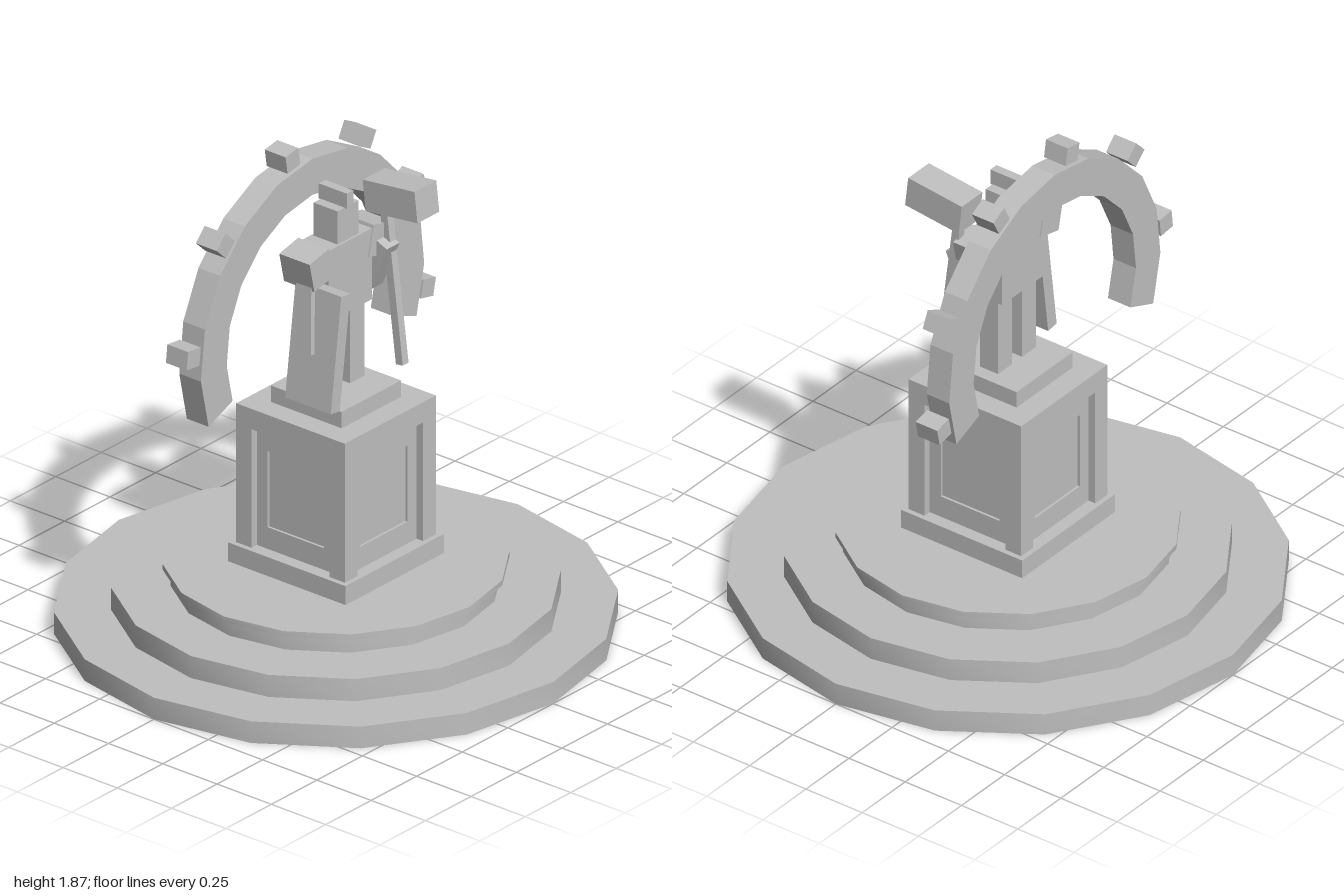
import * as THREE from 'three';
import { toCreasedNormals } from 'three/addons/utils/BufferGeometryUtils.js';

export function createModel() {
  const model = new THREE.Group();
  const stone = new THREE.MeshStandardMaterial({ color: 0xbfbfbf, side: THREE.DoubleSide });
  stone.name = 'stone';

  const add = (name, geometry, parent = model) => {
    const mesh = new THREE.Mesh(geometry, stone);
    mesh.name = name;
    parent.add(mesh);
    return mesh;
  };
  const box = (name, size, pos, rot = [0, 0, 0], parent = model) => {
    const mesh = add(name, new THREE.BoxGeometry(...size), parent);
    mesh.position.set(...pos);
    mesh.rotation.set(...rot);
    return mesh;
  };
  const group = (name) => {
    const g = new THREE.Group();
    g.name = name;
    model.add(g);
    return g;
  };

  // Round stepped base: a hollow shell, open underneath
  const profile = [[1, 0], [1, 0.085], [0.797, 0.085], [0.797, 0.172], [0.587, 0.172],
    [0.587, 0.237], [0.615, 0.237], [0.615, 0.258], [0, 0.258]];
  const steps = new THREE.LatheGeometry(profile.map(([r, y]) => new THREE.Vector2(r, y)), 16);
  add('steppedBase', toCreasedNormals(steps, 0.6));

  // Pedestal: foot, core, corner posts, cap, and a framed panel on each side
  const pedestal = group('pedestal');
  box('pedestalFoot', [0.54, 0.075, 0.54], [0, 0.295, 0], undefined, pedestal);
  box('pedestalCore', [0.42, 0.47, 0.42], [0, 0.567, 0], undefined, pedestal);
  box('pedestalCap', [0.5, 0.08, 0.5], [0, 0.84, 0], undefined, pedestal);
  const frame = new THREE.Shape([[-0.18, 0.332], [0.18, 0.332], [0.18, 0.8], [-0.18, 0.8]]
    .map(([x, y]) => new THREE.Vector2(x, y)));
  frame.holes.push(new THREE.Path([[-0.13, 0.418], [-0.13, 0.718], [0.13, 0.718], [0.13, 0.418]]
    .map(([x, y]) => new THREE.Vector2(x, y))));
  const frameGeometry = new THREE.ExtrudeGeometry(frame, { depth: 0.01, bevelEnabled: false });
  frameGeometry.translate(0, 0, 0.21);
  for (let i = 0; i < 4; i++) {
    const a = i * Math.PI / 2;
    add('panelFrame', frameGeometry, pedestal).rotation.y = a;
    const sx = i % 2 ? 1 : -1, sz = i < 2 ? 1 : -1;
    box('cornerPost', [0.07, 0.47, 0.07], [sx * 0.215, 0.567, sz * 0.215], undefined, pedestal);
  }
  box('plinth', [0.326, 0.065, 0.326], [0, 0.912, 0], undefined, pedestal);

  // Statue body
  const statue = group('statue');
  for (const s of [-1, 1]) {
    box('leg', [0.08, 0.305, 0.08], [s * 0.07, 1.097, 0], undefined, statue);
    box('shoulder', [0.107, 0.12, 0.14], [s * 0.163, 1.472, 0], [0, 0, -s * 0.22], statue);
  }
  box('torso', [0.24, 0.28, 0.13], [0, 1.39, 0], undefined, statue);
  box('head', [0.115, 0.13, 0.11], [0, 1.595, 0], undefined, statue);
  box('crest', [0.036, 0.06, 0.13], [0, 1.688, 0], undefined, statue);
  box('leftArm', [0.07, 0.2, 0.06], [0.175, 1.374, 0.05], [0.4, 0, 0], statue);
  box('rightArm', [0.07, 0.28, 0.07], [-0.185, 1.3, 0.035], [-0.1, 0, -0.13], statue);

  // Shield slab hanging at the right side
  box('shield', [0.05, 0.445, 0.21], [-0.19, 1.188, 0.075], [0, 0, -0.13]);

  // Hammer held on the left side
  const hammer = group('hammer');
  box('hammerHandle', [0.032, 0.62, 0.032], [0.195, 1.3, 0.103], [-0.125, 0, 0], hammer);
  box('hammerHead', [0.12, 0.12, 0.24], [0.19, 1.655, 0.14], [-0.115, 0, 0], hammer);

  // Open arch behind the statue, twelve straight segments
  const arch = group('arch');
  const centreY = 1.18, start = -21.5, sweep = 223, segments = 12;
  const arc = (r) => Array.from({ length: segments + 1 }, (_, i) => {
    const a = THREE.MathUtils.degToRad(start + sweep * i / segments);
    return new THREE.Vector2(r * Math.cos(a), r * Math.sin(a));
  });
  const archShape = new THREE.Shape([...arc(0.614), ...arc(0.472).reverse()]);
  const archGeometry = new THREE.ExtrudeGeometry(archShape, { depth: 0.1, bevelEnabled: false });
  add('archBand', archGeometry, arch).position.set(0, centreY, -0.208);

  // Small blocks standing on the outer edge of the arch
  for (let i = 0; i < 6; i++) {
    const a = THREE.MathUtils.degToRad(-12.3 + 37.2 * i);
    box('archBlock', [0.07, 0.07, 0.096],
      [0.654 * Math.cos(a), centreY + 0.654 * Math.sin(a), -0.158], [0, 0, a], arch);
  }
  return model;
}
